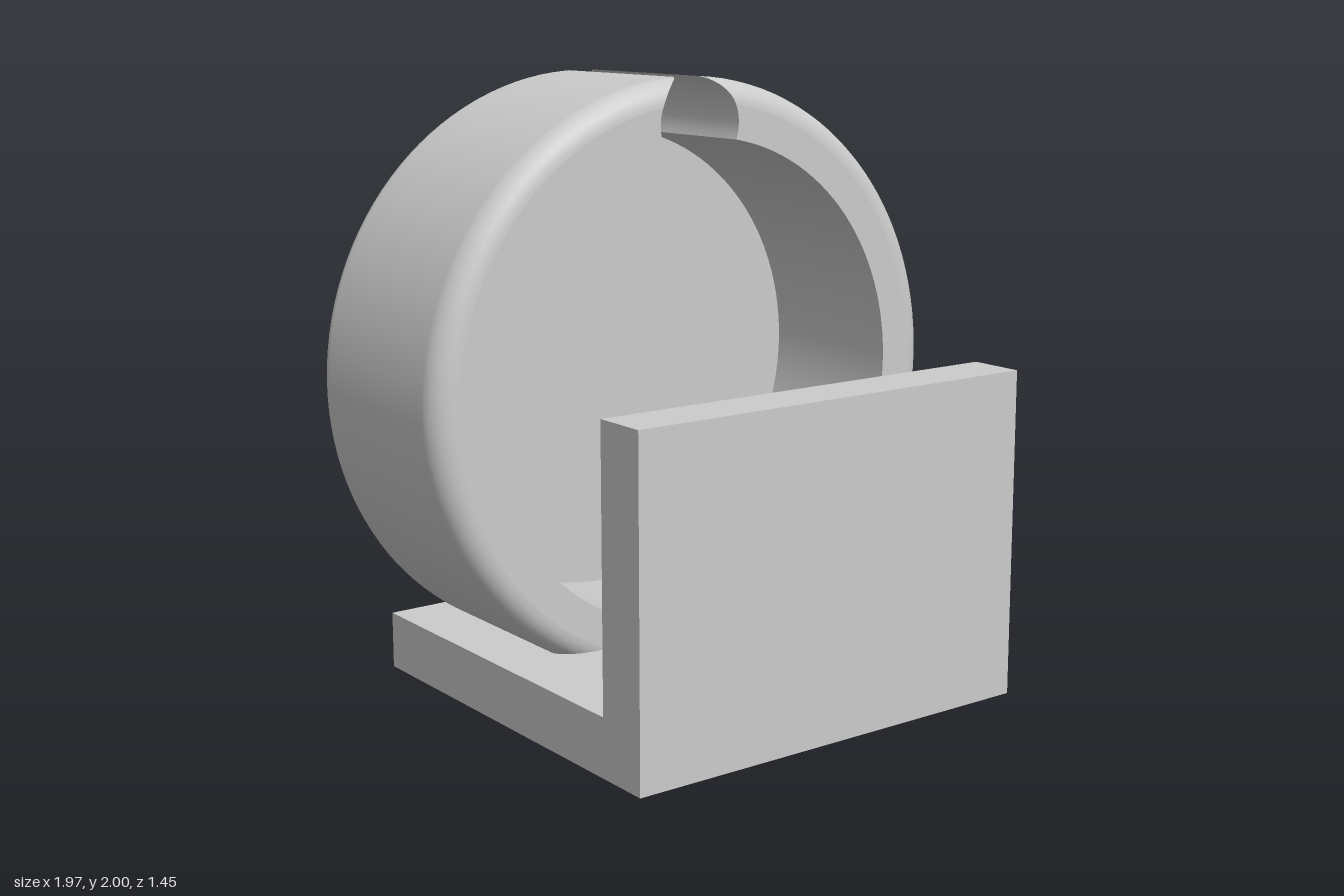
import * as THREE from 'three';

const CY = 1.015;                       // height of the drum axis
const R = 0.985, RI = 0.795, F = 0.08;  // outer radius, inner radius, edge rounding
const BACK = -0.725, FLOOR = -0.54, FRONT = 0.03;
const D = 0.837, RN = 0.155;            // cable notch: offset from axis, radius
const TAU = Math.PI * 2;

// Where a drum circle of radius r meets the notch circle (angles clockwise from up)
function meet(r) {
  const y = (r * r + D * D - RN * RN) / (2 * D);
  const x = Math.sqrt(r * r - y * y);
  return { a: Math.atan2(x, y), b: Math.atan2(x, y - D) };
}

// Points along an arc, clockwise from up
function arc(r, cy, from, to, n) {
  return Array.from({ length: n + 1 }, (_, i) => {
    const t = from + (to - from) * i / n;
    return new THREE.Vector2(r * Math.sin(t), cy + r * Math.cos(t));
  });
}
const drumArc = r => arc(r, 0, meet(r).a, TAU - meet(r).a, 120);
const notchArc = (from, to, n) => arc(RN, D, from, to, n);

// Skin through one row of points per [z, radius] section
function skin(sections, rowOf) {
  const pos = [], index = [];
  let n = 0;
  sections.forEach(([z, r], i) => {
    const row = rowOf(r);
    n = row.length;
    row.forEach((p, j) => {
      pos.push(p.x, p.y, z);
      if (i && j) {
        const d = i * n + j, c = d - 1, b = d - n, a = b - 1;
        index.push(a, c, b, b, c, d);
      }
    });
  });
  const g = new THREE.BufferGeometry();
  g.setAttribute('position', new THREE.Float32BufferAttribute(pos, 3));
  g.setIndex(index);
  g.computeVertexNormals();
  return g;
}

// Flat face at depth z from joined runs of points
function face(z, ...runs) {
  const pts = runs.flatMap(run => run.slice(0, -1));
  return new THREE.ShapeGeometry(new THREE.Shape(pts)).translate(0, 0, z);
}

export function createModel() {
  const model = new THREE.Group();
  const material = new THREE.MeshStandardMaterial({ color: 0xcccccc });
  const add = (parent, name, geometry) => {
    const mesh = new THREE.Mesh(geometry, material);
    mesh.name = name;
    parent.add(mesh);
  };

  // L-shaped stand: base and front wall
  const side = new THREE.Shape([
    [-0.725, 0], [0.725, 0], [0.725, 0.19], [-0.54, 0.19], [-0.54, 1.08], [-0.725, 1.08],
  ].map(p => new THREE.Vector2(...p)));
  add(model, 'stand', new THREE.ExtrudeGeometry(side, { depth: 1.48, bevelEnabled: false })
    .translate(0, 0, -0.74).rotateY(Math.PI / 2));

  // Round holder, open at the front
  const holder = new THREE.Group();
  holder.name = 'roundHolder';
  holder.position.y = CY;
  model.add(holder);

  const fillet = Array.from({ length: 9 }, (_, i) => {
    const t = i / 8 * Math.PI / 2;
    return [F * (1 - Math.cos(t)), R - F + F * Math.sin(t)];
  });
  const plate = [...fillet.map(([z, r]) => [BACK + z, r]), [FLOOR, R]];
  const rim = [[FLOOR, R], ...fillet.map(([z, r]) => [FRONT - z, r]).reverse()];
  const inner = meet(RI), edge = meet(R - F);

  add(holder, 'outerWall', skin([...plate, ...rim.slice(1)], drumArc));
  add(holder, 'innerWall', skin([[FLOOR, RI], [FRONT, RI]], r => drumArc(r).reverse()));

  // Faces
  add(holder, 'backFace', face(0, drumArc(R - F), notchArc(TAU - edge.b, edge.b, 32))
    .rotateY(Math.PI).translate(0, 0, BACK));
  add(holder, 'recessFloor', face(FLOOR, drumArc(RI), notchArc(TAU - inner.b, inner.b, 32)));
  add(holder, 'frontRim', face(FRONT, drumArc(R - F),
    notchArc(TAU - edge.b, TAU - inner.b, 12), drumArc(RI).reverse(),
    notchArc(inner.b, edge.b, 12)));

  // Notch walls through the back plate and both ends of the rim
  add(holder, 'notchPlateWall', skin(plate, r => notchArc(TAU - meet(r).b, meet(r).b, 32)));
  add(holder, 'notchLeftWall', skin(rim, r => notchArc(inner.b, meet(r).b, 12)));
  add(holder, 'notchRightWall', skin(rim, r => notchArc(TAU - meet(r).b, TAU - inner.b, 12)));

  return model;
}
